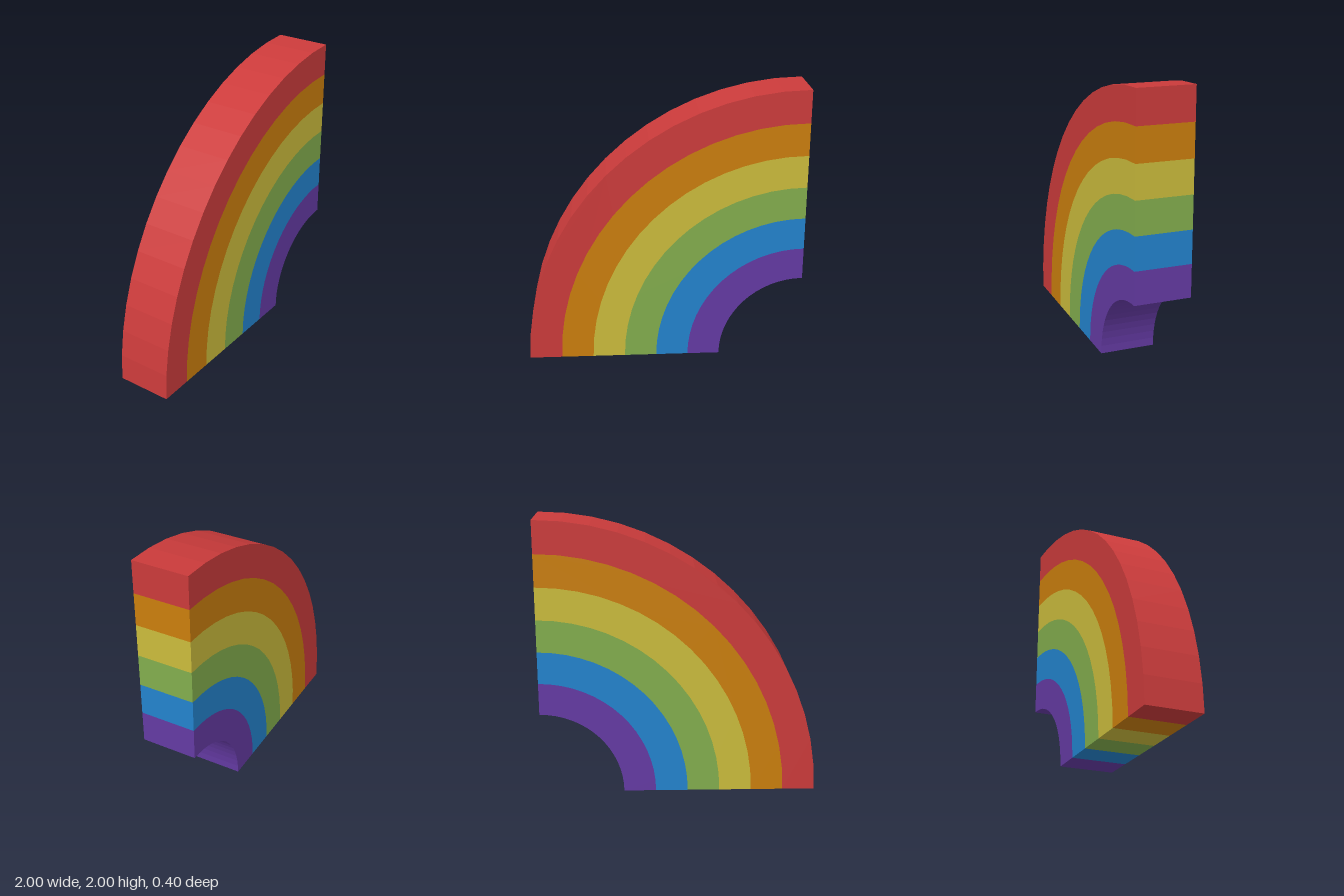
import * as THREE from 'three';

const INNER = 0.6, OUTER = 2, DEPTH = 0.4, SEGMENTS = 16;

// Bands from the outside in
const BANDS = [
  ['red', 0xcb3b3b],
  ['orange', 0xca7e0d],
  ['yellow', 0xcabb3c],
  ['green', 0x82ad4d],
  ['blue', 0x2383cd],
  ['purple', 0x643aa3],
];

// Points of a quarter arc, from the ground up to the vertical end
function arcPoints(radius) {
  return Array.from({ length: SEGMENTS + 1 }, (_, i) => {
    const a = (i / SEGMENTS) * Math.PI / 2;
    return new THREE.Vector2(1 - radius * Math.cos(a), radius * Math.sin(a));
  });
}

// Faceted quarter ring with flat ends
function bandGeometry(inner, outer) {
  const shape = new THREE.Shape([...arcPoints(outer), ...arcPoints(inner).reverse()]);
  const geometry = new THREE.ExtrudeGeometry(shape, { depth: DEPTH, bevelEnabled: false });
  return geometry.translate(0, 0, -DEPTH / 2);
}

export function createModel() {
  const rainbow = new THREE.Group();
  rainbow.name = 'quarterRainbow';
  const width = (OUTER - INNER) / BANDS.length;
  BANDS.forEach(([name, color], i) => {
    const material = new THREE.MeshStandardMaterial({ color });
    material.name = name;
    const outer = OUTER - i * width;
    const band = new THREE.Mesh(bandGeometry(outer - width, outer), material);
    band.name = `${name}Band`;
    rainbow.add(band);
  });
  return rainbow;
}
